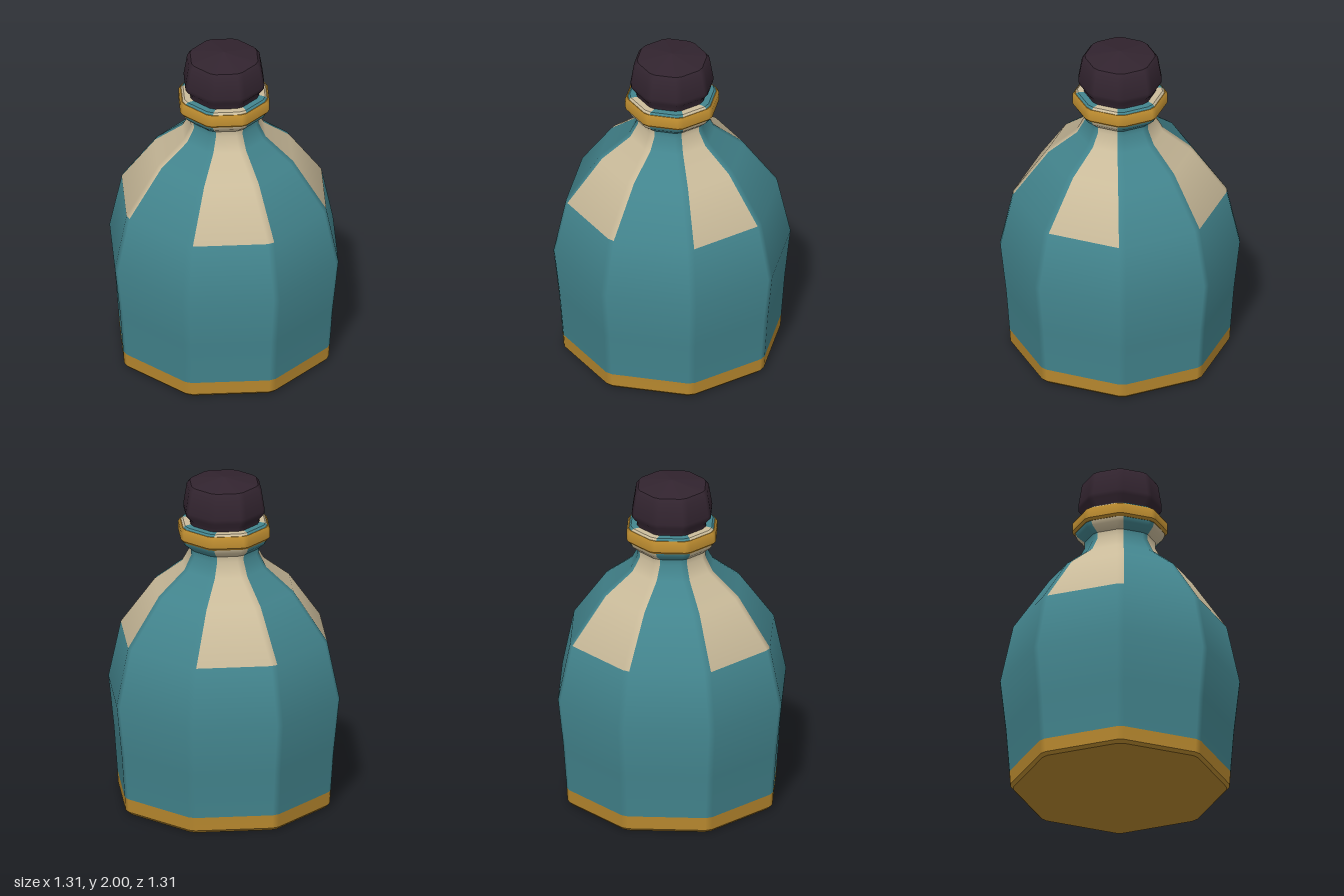
import * as THREE from 'three';

const material = (name, color) => new THREE.MeshStandardMaterial({ name, color });

const SIDES = 8;
const HALF_SIDE = Math.tan(Math.PI / SIDES);
const COLUMNS = Array.from({ length: SIDES * 2 }, (_, i) => i);

// Profiles run bottom to top as [apothem, height].
const BODY = [
  [0, 0], [0.583, 0], [0.6, 0.018], [0.605, 0.1],          // foot band
  [0.624, 0.37], [0.655, 0.68], [0.585, 1.03],             // belly
  [0.395, 1.32], [0.24, 1.455], [0.198, 1.54],             // shoulder
  [0.2, 1.575], [0.238, 1.61], [0.25, 1.64], [0.25, 1.715], [0.236, 1.73], [0.15, 1.735], // neck and lip
];
const COLLAR = [
  [0.235, 1.633], [0.25, 1.635], [0.262, 1.65], [0.262, 1.7], [0.25, 1.718], [0.235, 1.72],
];
const STOPPER = [
  [0, 1.725], [0.2, 1.725], [0.202, 1.755], [0.23, 1.79], [0.232, 1.815],
  [0.212, 1.945], [0.195, 1.967], [0, 2.0],
];

// Octagonal shell with chamfered corners. Even columns are the flat sides and
// odd columns the chamfers; normals stay flat per side and blend on chamfers.
function shell(name, mat, profile, { from = 0, to = profile.length - 1, columns = COLUMNS, chamfer = 0.022 } = {}) {
  const segmentNormal = (i) => {
    const [r0, y0] = profile[i], [r1, y1] = profile[i + 1];
    return new THREE.Vector2(y1 - y0, r0 - r1).normalize();
  };
  // Blend with the neighbouring segment unless the bend is sharp
  const endNormal = (i, j) => {
    const n = segmentNormal(i);
    if (j < 0 || j >= profile.length - 1) return n;
    const m = segmentNormal(j);
    return n.dot(m) > 0.8 ? n.add(m).normalize() : n;
  };
  const position = [], normal = [], index = [];
  const addVertex = (v, [r, y], n) => {
    const a = Math.floor(v / 2) * Math.PI * 2 / SIDES;
    const s = Math.sin(a), c = Math.cos(a);
    const offset = Math.max(r * HALF_SIDE - chamfer, 0) * (v % 2 ? 1 : -1);
    position.push(s * r + c * offset, y, c * r - s * offset);
    normal.push(s * n.x, n.y, c * n.x);
  };
  for (let i = from; i < to; i++) {
    const low = endNormal(i, i - 1), high = endNormal(i, i + 1);
    for (const col of columns) {
      const next = (col + 1) % (SIDES * 2), b = position.length / 3;
      addVertex(col, profile[i], low);
      addVertex(next, profile[i], low);
      addVertex(next, profile[i + 1], high);
      addVertex(col, profile[i + 1], high);
      index.push(b, b + 1, b + 2, b, b + 2, b + 3);
    }
  }
  const geometry = new THREE.BufferGeometry();
  geometry.setAttribute('position', new THREE.Float32BufferAttribute(position, 3));
  geometry.setAttribute('normal', new THREE.Float32BufferAttribute(normal, 3));
  geometry.setIndex(index);
  const mesh = new THREE.Mesh(geometry, mat);
  mesh.name = name;
  return mesh;
}

export function createModel() {
  const teal = material('teal glaze', 0x43858e);
  const cream = material('cream panel', 0xcbbc9b);
  const gold = material('gold trim', 0xba8a2f);
  const dark = material('dark stopper', 0x32242f);

  // Cream covers four sides, three of them wrapping over one chamfer
  const creamColumns = [0, 1, 4, 8, 9, 12, 13];
  const tealColumns = COLUMNS.filter((c) => !creamColumns.includes(c));

  const bottle = new THREE.Group();
  bottle.name = 'bottle';
  bottle.add(
    shell('footBand', gold, BODY, { to: 3 }),
    shell('belly', teal, BODY, { from: 3, to: 6 }),
    shell('shoulderAndNeck', teal, BODY, { from: 6, columns: tealColumns }),
    shell('shoulderPanels', cream, BODY, { from: 6, columns: creamColumns }),
    shell('collar', gold, COLLAR, { chamfer: 0.018 }),
    shell('stopper', dark, STOPPER, { chamfer: 0.02 }),
  );
  return bottle;
}
